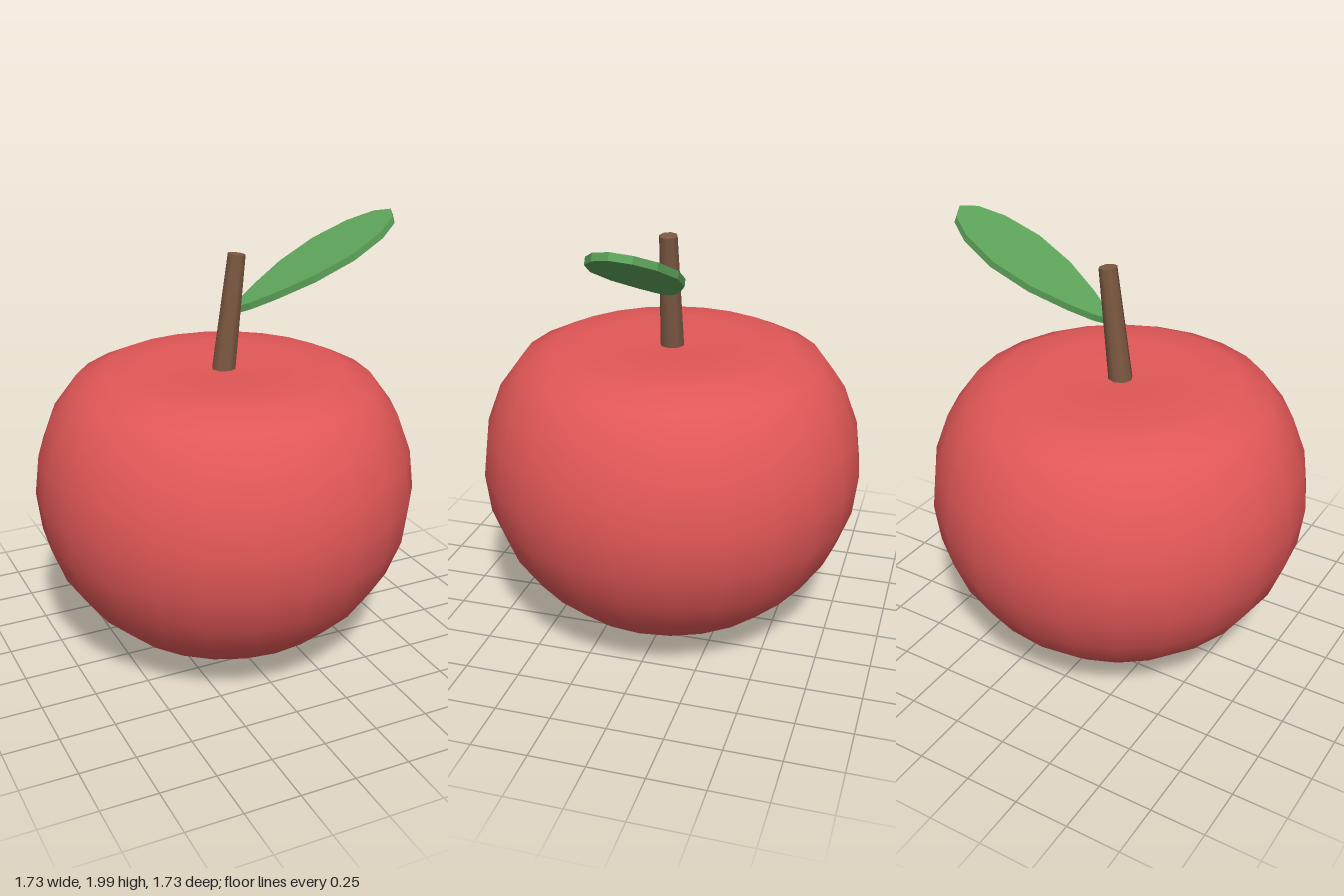
import * as THREE from 'three';

const material = (name, color) => {
  const m = new THREE.MeshStandardMaterial({ color });
  m.name = name;
  return m;
};

const part = (name, geometry, mat) => {
  const mesh = new THREE.Mesh(geometry, mat);
  mesh.name = name;
  return mesh;
};

export function createModel() {
  const red = material('apple red', 0xe25757);
  const brown = material('stem brown', 0x7c5842);
  const green = material('leaf green', 0x5da45a);
  const model = new THREE.Group();
  model.name = 'apple';

  // Fruit: round profile whose crown is pressed down into a shallow dimple
  const rings = 14;
  const profile = [];
  for (let i = 0; i <= rings; i++) {
    const a = (i / rings) * Math.PI;
    let y = 0.81 - 0.807 * Math.cos(a);
    if (y > 1.225) y -= 1.7 * (y - 1.225) ** 2;
    profile.push(new THREE.Vector2(i % rings ? 0.865 * Math.sin(a) : 0, y));
  }
  model.add(part('fruit', new THREE.LatheGeometry(profile, 24), red));

  // Stem: tapered and leaning towards the leaf
  const stemLength = 0.6;
  const stemGeometry = new THREE.CylinderGeometry(0.041, 0.057, stemLength, 8);
  stemGeometry.translate(0, -stemLength / 2, 0);
  const stem = part('stem', stemGeometry, brown);
  stem.position.set(0.06, 1.867, 0);
  stem.rotation.z = -0.12;
  model.add(stem);

  // Leaf: thin plate, outline given as distance from the root and half width
  const edge = [[0.06, 0.045], [0.166, 0.095], [0.342, 0.157], [0.541, 0.18],
    [0.717, 0.145], [0.828, 0.08]];
  const outline = [[0, 0], ...edge.map(([s, w]) => [s, -w]), [0.873, 0],
    ...edge.map(([s, w]) => [s, w]).reverse()];
  const shape = new THREE.Shape(outline.map(([s, w]) => new THREE.Vector2(s, w)));
  const thickness = 0.032;
  const leafGeometry = new THREE.ExtrudeGeometry(shape, { depth: thickness, bevelEnabled: false });
  leafGeometry.translate(0, 0, -thickness / 2);
  leafGeometry.rotateX(-Math.PI / 2);
  const leaf = part('leaf', leafGeometry, green);
  leaf.position.set(0.05, 1.614, 0);
  leaf.rotation.z = 0.436;
  model.add(leaf);

  return model;
}
